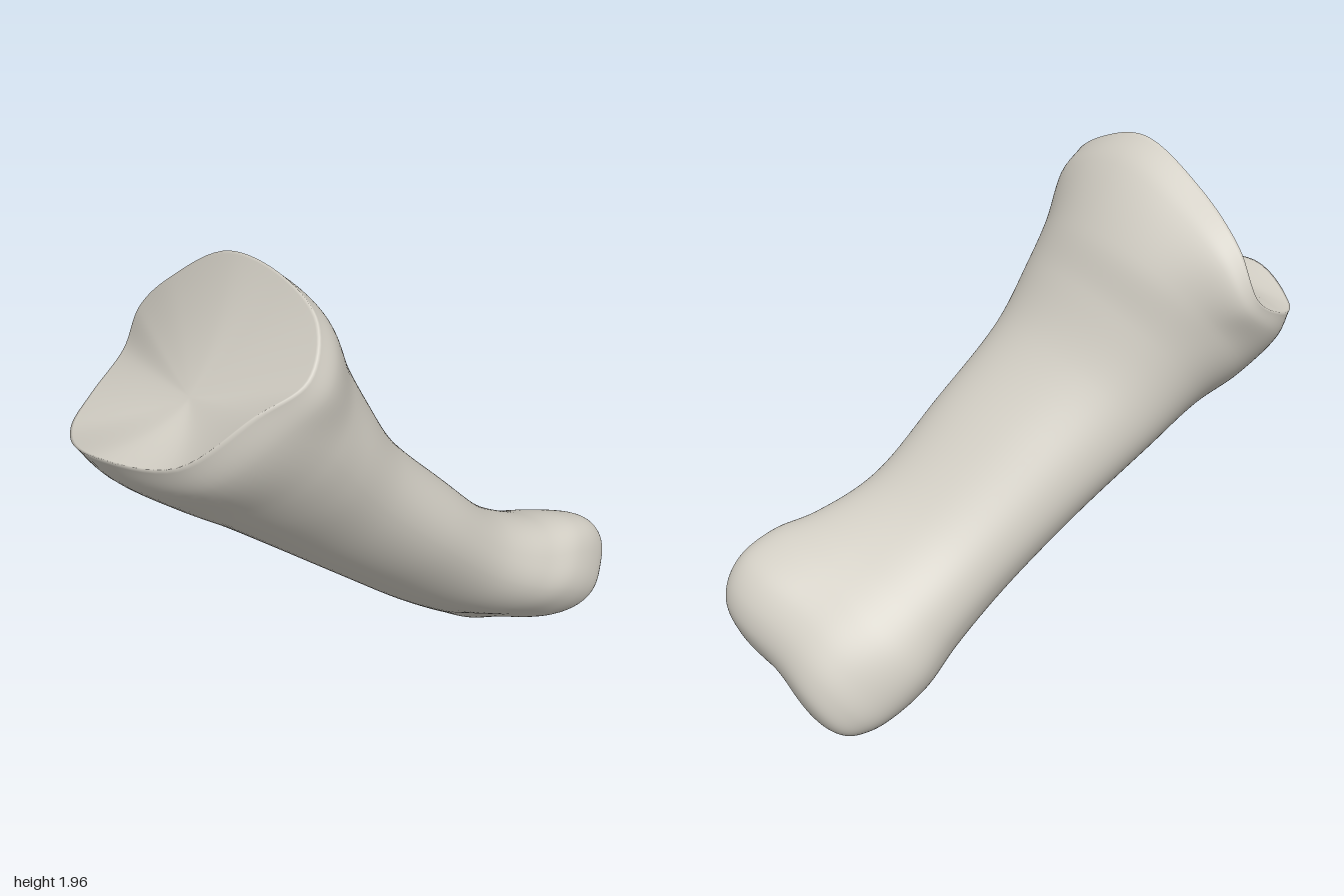
import * as THREE from 'three';
import { mergeVertices } from 'three/addons/utils/BufferGeometryUtils.js';

const AROUND = 96, BODY_ROWS = 100;
const V = (x, y, z) => new THREE.Vector3(x, y, z);

// Bone frame: shaft runs down and back, side points to +x, dorsal points up and back
const origin = V(-0.19, 1.6, 0.65);
const axis = V(0.24, -0.637, -0.735).normalize();
const side = V(0.95, 0.307, 0.045).normalize();
const dorsal = side.clone().cross(axis).normalize();
const place = (s, p, q) => origin.clone()
  .addScaledVector(axis, s).addScaledVector(side, p).addScaledVector(dorsal, q);

// Rim of the joint socket, from the +x side over the dorsal peak to the front lip
const rim = new THREE.CatmullRomCurve3([
  [0.3, 1.71, 0.67], [0.25, 1.84, 0.55], [0.09, 1.93, 0.49], [-0.13, 1.965, 0.47],
  [-0.4, 1.82, 0.44], [-0.6, 1.65, 0.4], [-0.68, 1.48, 0.41], [-0.67, 1.39, 0.59],
  [-0.59, 1.36, 0.78], [-0.3, 1.43, 0.99], [0, 1.45, 0.94], [0.2, 1.62, 0.8],
].map((c) => V(...c)), true);

// Shaft sections: [along, side centre, dorsal centre, half width, half depth, squareness, condyle weight]
const sections = [
  [0.3, -0.03, -0.04, 0.488, 0.343, 2, 0],
  [0.47, -0.015, -0.082, 0.44, 0.296, 2, 0],
  [0.7, -0.015, -0.125, 0.4, 0.25, 2, 0],
  [1.08, 0, -0.15, 0.365, 0.225, 2.1, 0],
  [1.45, 0, -0.157, 0.345, 0.212, 2.2, 0],
  [1.7, 0.01, -0.13, 0.372, 0.218, 2.4, 0.3],
  [1.86, 0.012, -0.095, 0.405, 0.23, 2.5, 0.7],
  [2.0, 0.015, -0.075, 0.4, 0.232, 2.5, 1],
  [2.1, 0.015, -0.065, 0.375, 0.205, 2.5, 1],
  [2.17, 0.01, -0.055, 0.325, 0.15, 2.5, 1],
  [2.21, 0, -0.05, 0.22, 0.08, 2.4, 1],
  [2.22, 0, -0.05, 0, 0, 2, 1],
];

// The far end twists: its +x condyle is squarer and sits higher, the other rounder and longer
function sectionPoint([s, pc, qc, a, b, n, weight], angle) {
  const power = 2 / (n + 0.5 * weight * Math.cos(angle));
  const bend = (v) => Math.sign(v) * Math.abs(v) ** power;
  const p = pc + a * bend(Math.cos(angle));
  const dip = weight * Math.exp(-((p / 0.16) ** 2));
  const lean = weight * p / 0.4;
  const depth = b * bend(Math.sin(angle)) * (1 - 0.06 * dip + 0.06 * lean);
  return place(s - 0.025 * dip - 0.022 * lean, p, qc + depth + 0.05 * lean);
}

// One strip from the socket floor, over the rim and down the shaft to the far tip
function strip(t) {
  const edge = rim.getPoint(t);
  const rel = edge.clone().sub(origin);
  const [s, p, q] = [axis, side, dorsal].map((d) => rel.dot(d));
  const points = [];
  for (const r of [0, 0.1, 0.2, 0.3, 0.4, 0.5, 0.6, 0.7, 0.8, 0.88, 0.94, 0.98]) {
    points.push(place(0.04 + (s - 0.04) * r ** 1.8, p * r, q * r - 0.06 * (1 - r)));
  }
  const angle = Math.atan2((q + 0.03) / 0.35, (p + 0.03) / 0.5);
  const shaft = sections.map((section) => sectionPoint(section, angle));
  // Swollen collar just below the rim
  const collar = edge.clone().lerp(shaft[0], 0.35)
    .addScaledVector(side, 0.025 * Math.cos(angle))
    .addScaledVector(dorsal, 0.025 * Math.sin(angle));
  const run = new THREE.CatmullRomCurve3([edge, collar, ...shaft]);
  return points.concat(run.getPoints(BODY_ROWS));
}

function boneGeometry() {
  const strips = Array.from({ length: AROUND }, (_, i) => strip(i / AROUND));
  const rows = strips[0].length;
  const index = [];
  for (let i = 0; i < AROUND; i++) {
    const here = i * rows, next = ((i + 1) % AROUND) * rows;
    for (let j = 0; j < rows - 1; j++) {
      if (j > 0) index.push(here + j, here + j + 1, next + j);
      if (j < rows - 2) index.push(next + j, here + j + 1, next + j + 1);
    }
  }
  let geometry = new THREE.BufferGeometry().setFromPoints(strips.flat());
  geometry.setIndex(index);
  geometry = mergeVertices(geometry, 1e-5);

  // Stand on the ground, centred
  geometry.computeBoundingBox();
  const mid = geometry.boundingBox.getCenter(V());
  geometry.translate(-mid.x, -geometry.boundingBox.min.y, -mid.z);
  geometry.computeVertexNormals();
  return geometry;
}

export function createModel() {
  const bone = new THREE.MeshStandardMaterial({ color: 0xd2cec4 });
  bone.name = 'bone';
  const mesh = new THREE.Mesh(boneGeometry(), bone);
  mesh.name = 'fingerBone';
  const group = new THREE.Group();
  group.name = 'bone';
  group.add(mesh);
  return group;
}
